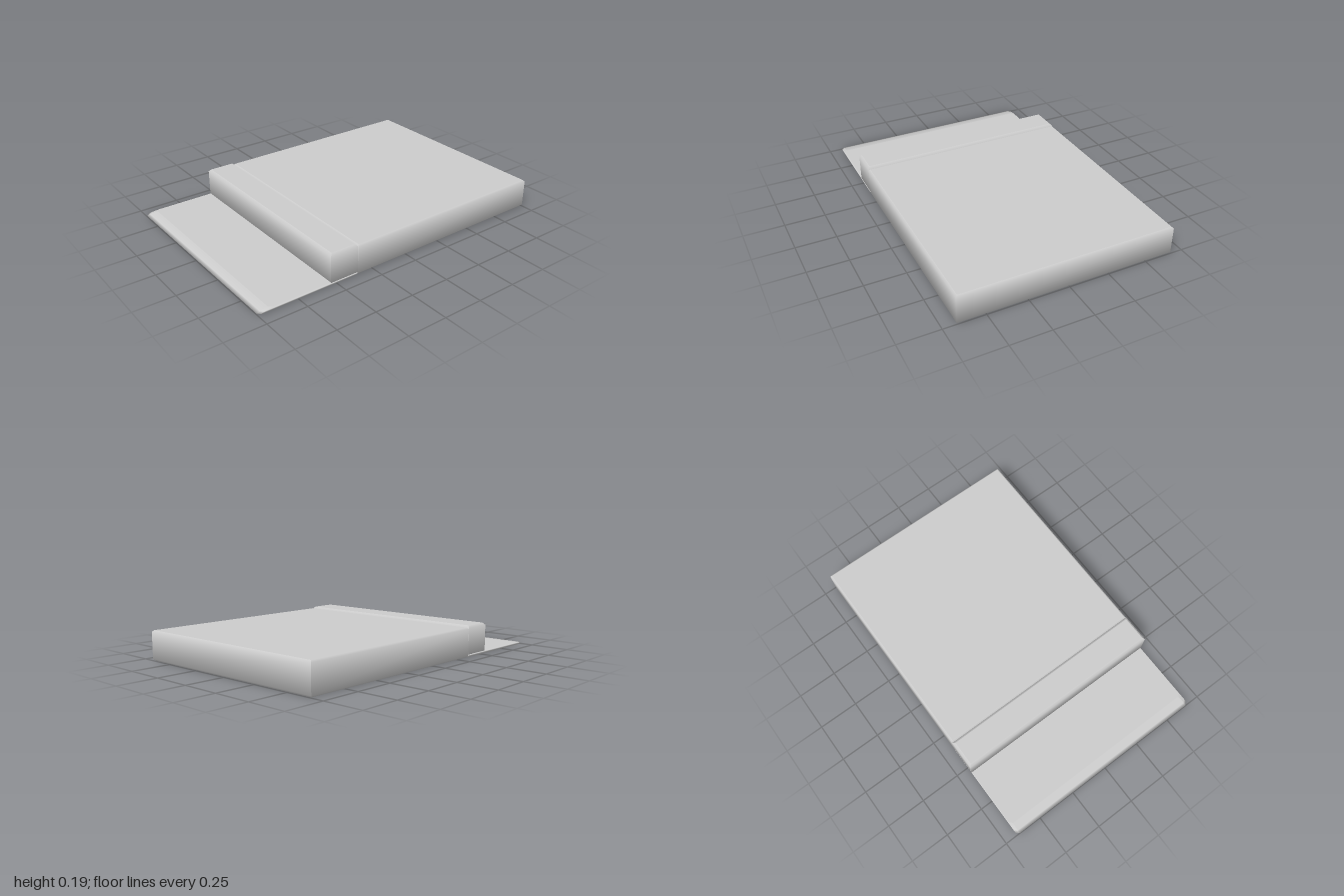
import * as THREE from 'three';

const material = new THREE.MeshStandardMaterial({ color: 0xcccccc });

// Rectangular outline, counter-clockwise seen from above, with optional cut left corners
function outline({ x0, x1, z, cut = 0 }) {
  const left = cut > 0
    ? [[x0 + cut, -z], [x0, -z + cut], [x0, z - cut], [x0 + cut, z]]
    : [[x0, -z], [x0, z]];
  return [...left, [x1, z], [x1, -z]];
}

// Stack outlines from bottom to top; walls are softly shaded, caps are flat
function loft(name, rings, tilt) {
  const loops = rings.map((r) => outline(r).map(([x, z]) => new THREE.Vector3(x, r.y, z)));
  const positions = [], normals = [], indices = [];
  const add = (p, n) => {
    positions.push(p.x, p.y, p.z);
    normals.push(n.x, n.y, n.z);
    return positions.length / 3 - 1;
  };
  const count = loops[0].length;
  for (let i = 0; i < count; i++) {
    const j = (i + 1) % count;
    const dx = loops[0][j].x - loops[0][i].x, dz = loops[0][j].z - loops[0][i].z;
    const out = new THREE.Vector3(-dz, 0, dx).normalize();
    let previous = null;
    loops.forEach((loop, k) => {
      const n = out.clone().setY(tilt[k]).normalize();
      const row = [add(loop[i], n), add(loop[j], n)];
      if (previous) {
        const [a, b] = previous, [d, c] = row;
        indices.push(a, b, c, a, c, d);
      }
      previous = row;
    });
  }
  for (const [loop, side] of [[loops[0], -1], [loops[loops.length - 1], 1]]) {
    const ids = loop.map((p) => add(p, new THREE.Vector3(0, side, 0)));
    for (let i = 1; i < count - 1; i++) {
      if (side > 0) indices.push(ids[0], ids[i], ids[i + 1]);
      else indices.push(ids[0], ids[i + 1], ids[i]);
    }
  }
  const geometry = new THREE.BufferGeometry();
  geometry.setAttribute('position', new THREE.Float32BufferAttribute(positions, 3));
  geometry.setAttribute('normal', new THREE.Float32BufferAttribute(normals, 3));
  geometry.setIndex(indices);
  const mesh = new THREE.Mesh(geometry, material);
  mesh.name = name;
  return mesh;
}

// Block with every top and bottom edge bevelled
function bevelledBlock(name, x0, x1, y0, y1, z, bevel) {
  const wide = { x0, x1, z };
  const narrow = { x0: x0 + bevel, x1: x1 - bevel, z: z - bevel };
  return loft(name, [
    { ...narrow, y: y0 }, { ...wide, y: y0 + bevel },
    { ...wide, y: y1 - bevel }, { ...narrow, y: y1 },
  ], [-2, -0.6, 0.6, 2]);
}

export function createModel() {
  const group = new THREE.Group();
  group.name = 'slabWithFlap';
  const depth = 0.67;

  // Large main slab
  group.add(bevelledBlock('mainSlab', -0.355, 1, 0, 0.185, depth, 0.01));

  // Slightly taller ridge beside the slab
  group.add(bevelledBlock('ridge', -0.54, -0.357, 0.004, 0.195, depth, 0.014));

  // Thin flap under the ridge, tapering to its outer edge
  group.add(loft('flap', [
    { y: 0, x0: -0.995, x1: -0.367, z: depth - 0.006, cut: 0.018 },
    { y: 0.008, x0: -1, x1: -0.358, z: depth, cut: 0.018 },
    { y: 0.014, x0: -0.98, x1: -0.358, z: depth, cut: 0.018 },
    { y: 0.02, x0: -0.93, x1: -0.365, z: depth - 0.004, cut: 0.018 },
  ], [-2, -0.4, 2, 6]));

  return group;
}
